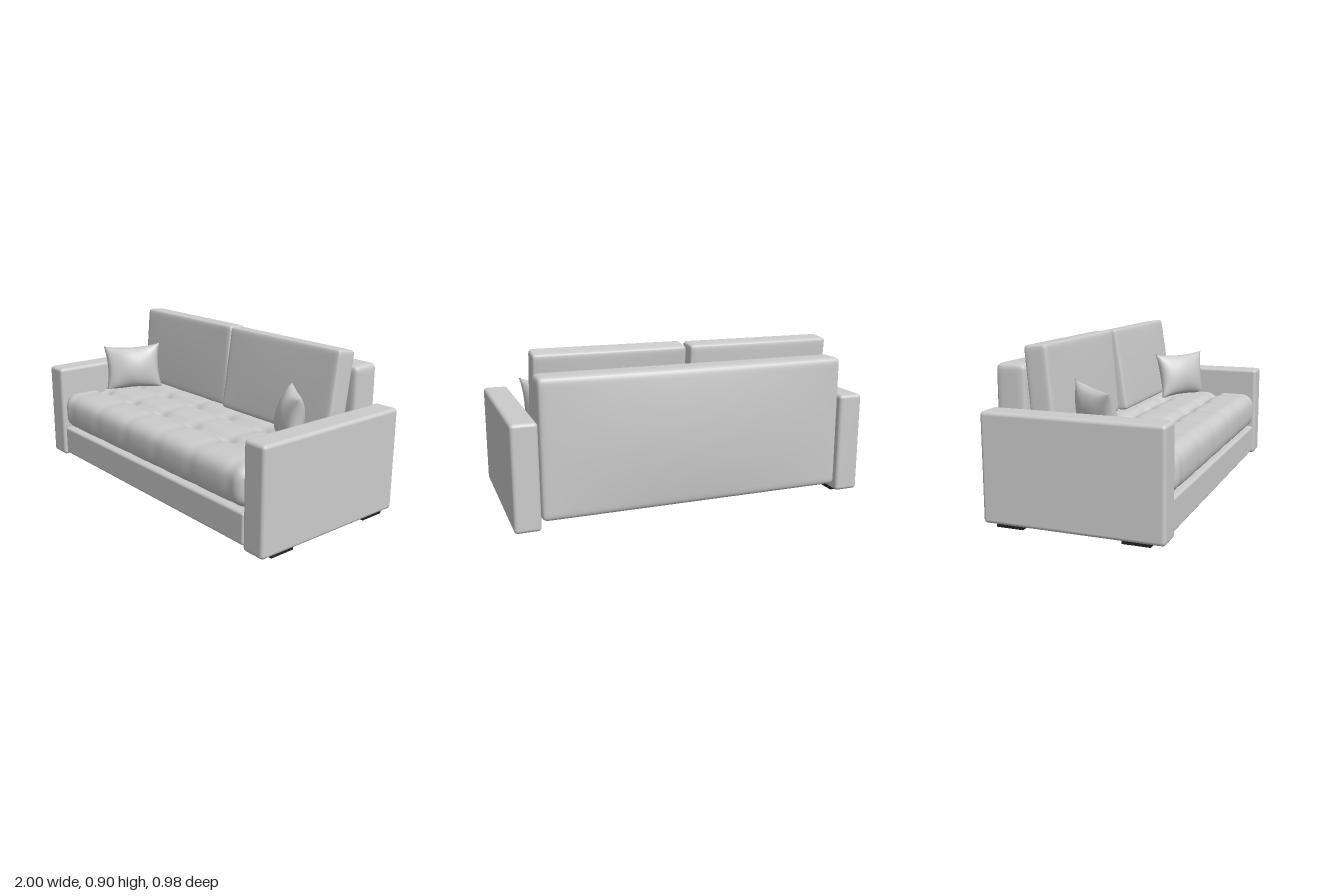
import * as THREE from 'three';
import { mergeVertices } from 'three/addons/utils/BufferGeometryUtils.js';
import { RoundedBoxGeometry } from 'three/addons/geometries/RoundedBoxGeometry.js';

const fabric = new THREE.MeshStandardMaterial({ color: 0xcccccc });
const darkPlastic = new THREE.MeshStandardMaterial({ color: 0x222222 });

function add(parent, name, geometry, x, y, z, material = fabric) {
  const mesh = new THREE.Mesh(geometry, material);
  mesh.name = name;
  mesh.position.set(x, y, z);
  parent.add(mesh);
  return mesh;
}

// Move every vertex by a rule, then weld and smooth.
function reshape(geometry, rule) {
  const pos = geometry.attributes.position;
  const p = new THREE.Vector3();
  for (let i = 0; i < pos.count; i++) {
    rule(p.fromBufferAttribute(pos, i));
    pos.setXYZ(i, p.x, p.y, p.z);
  }
  geometry.deleteAttribute('normal');
  geometry.deleteAttribute('uv');
  const welded = mergeVertices(geometry, 1e-5);
  welded.computeVertexNormals();
  return welded;
}

// Finely divided rounded box, with vertices gathered towards its edges.
function softBox(w, h, d, r, segments, deform) {
  const half = new THREE.Vector3(w / 2, h / 2, d / 2);
  const inner = half.clone().subScalar(r);
  const outer = inner.clone().negate();
  return reshape(new THREE.BoxGeometry(2, 2, 2, ...segments), (p) => {
    p.set(Math.sin(p.x * Math.PI / 2), Math.sin(p.y * Math.PI / 2), Math.sin(p.z * Math.PI / 2)).multiply(half);
    const core = p.clone().clamp(outer, inner);
    p.sub(core).setLength(r).add(core);
    deform(p);
  });
}

const groove = (distance, width) => Math.exp(-((distance / width) ** 2));
const dome = (a, b) => Math.max(0, 1 - a * a) * Math.max(0, 1 - b * b);

// Mattress seat with two lengthwise seams and rows of tufts.
function seatGeometry(zCentre) {
  const w = 1.71, h = 0.225, d = 0.725;
  const tufts = [-0.75, -0.45, -0.15, 0.15, 0.45, 0.75];
  return softBox(w, h, d, 0.07, [120, 12, 60], (p) => {
    const z = p.z + zCentre;
    const top = THREE.MathUtils.smoothstep(p.y, 0, h / 2);
    const front = THREE.MathUtils.smoothstep(p.z, d / 2 - 0.12, d / 2);
    const across = groove(z - 0.23, 0.03) + groove(z + 0.02, 0.03);
    const along = tufts.reduce((sum, x) => sum + groove(p.x - x, 0.04), 0);
    p.y -= top * (0.022 * across + 0.005 * along + 0.02 * across * along);
    p.z += front * (0.012 * (1 - (2 * p.y / h) ** 2) - 0.004 * along);
  });
}

// Scatter cushion: pinched edges, pointed corners, soft folds.
function pillowGeometry(w, h, t, phase) {
  return reshape(new THREE.BoxGeometry(2, 2, 2, 28, 28, 1), (p) => {
    const u = p.x, v = p.y;
    const puff = Math.pow(dome(u, v), 0.55);
    const fold = 1 + 0.09 * Math.sin(7 * u + 2 * v + phase) * (1 - puff);
    p.x = u * w / 2 * (1 - 0.1 * (1 - v * v));
    p.y = v * h / 2 * (1 - 0.12 * (1 - u * u));
    p.z = p.z * t / 2 * puff * fold + 0.012 * u * v;
  });
}

export function createModel() {
  const sofa = new THREE.Group();
  sofa.name = 'sofa';

  // Arms, each on two flat feet
  for (const [side, s] of [['left', 1], ['right', -1]]) {
    const arm = new THREE.Group();
    arm.name = side + 'Arm';
    sofa.add(arm);
    add(arm, side + 'ArmPanel', new RoundedBoxGeometry(0.14, 0.567, 0.955, 4, 0.02), s * 0.93, 0.2985, 0.0075);
    for (const [end, z] of [['Front', 0.337], ['Back', -0.328]]) {
      add(arm, side + end + 'Foot', new THREE.BoxGeometry(0.115, 0.03, 0.145), s * 0.927, 0.015, z, darkPlastic);
    }
  }

  // Base and seat
  add(sofa, 'base', new RoundedBoxGeometry(1.71, 0.172, 0.785, 4, 0.015), 0, 0.117, 0.0825);
  add(sofa, 'seat', seatGeometry(0.1125), 0, 0.3165, 0.1125);

  // Backrest with a bulging rear face
  add(sofa, 'backrest', softBox(1.71, 0.745, 0.165, 0.03, [40, 30, 10], (p) => {
    if (p.z < 0) p.z += 0.028 * dome(p.x / 0.855, p.y / 0.3725) * p.z / 0.0825;
  }), 0, 0.4275, -0.3775);

  // Two leaning back cushions, one set slightly further back
  for (const [name, x, z, lean] of [['leftBackCushion', 0.425, -0.198, -0.15], ['rightBackCushion', -0.427, -0.224, -0.09]]) {
    const cushion = add(sofa, name, softBox(0.835, 0.48, 0.125, 0.02, [24, 20, 10], (p) => {
      p.z += Math.sign(p.z) * 0.006 * dome(p.x / 0.4175, p.y / 0.24);
    }), x, 0.658, z);
    cushion.rotation.x = lean;
  }

  // Scatter cushions turned in towards the middle
  for (const [name, x, z, turn, phase] of [['leftPillow', 0.69, 0.015, -0.6, 0], ['rightPillow', -0.728, 0.03, 0.97, 2]]) {
    const pillow = add(sofa, name, pillowGeometry(0.36, 0.29, 0.14, phase), x, 0.555, z);
    pillow.rotation.set(-0.2, turn, name === 'rightPillow' ? 0.05 : 0, 'YXZ');
  }

  return sofa;
}
